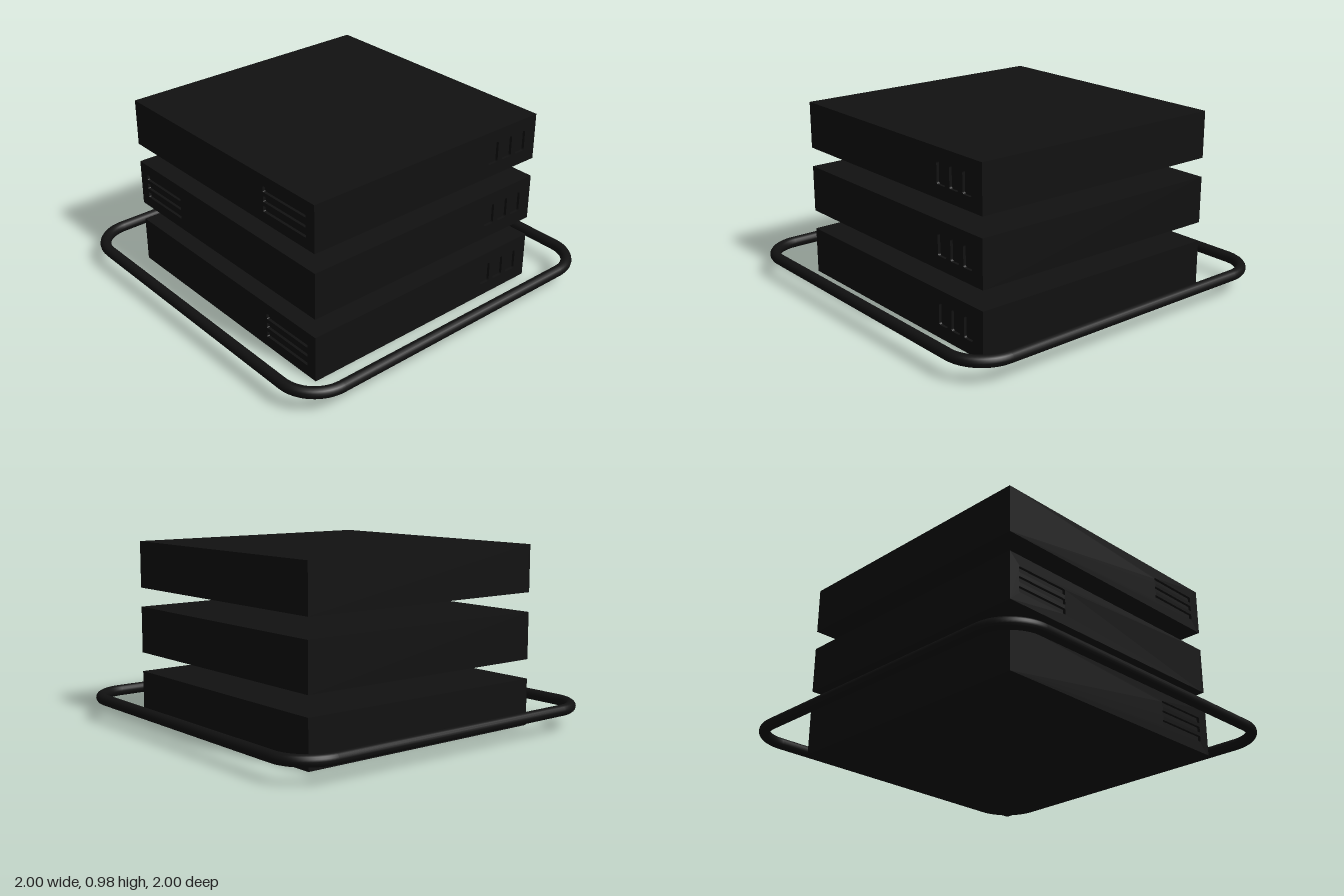
import * as THREE from 'three';

const SIZE = 1.494, HEIGHT = 0.256, PITCH = 0.362, INSET = 0.015;
const HALF = SIZE / 2;
const material = new THREE.MeshStandardMaterial({ color: 0x111111 });

function add(parent, name, geometry, x = 0, y = 0, z = 0) {
  const mesh = new THREE.Mesh(geometry, material);
  mesh.name = name;
  mesh.position.set(x, y, z);
  parent.add(mesh);
  return mesh;
}

// Rounded slot outline centred on (x, y)
function slot(x, y, w, h, r) {
  const p = new THREE.Path();
  const a = w / 2 - r, b = h / 2 - r;
  p.absarc(x + a, y + b, r, 0, Math.PI / 2);
  p.absarc(x - a, y + b, r, Math.PI / 2, Math.PI);
  p.absarc(x - a, y - b, r, Math.PI, Math.PI * 1.5);
  p.absarc(x + a, y - b, r, Math.PI * 1.5, Math.PI * 2);
  p.closePath();
  return p;
}

// Thin face plate pierced by slots
function plate(x0, x1, holes) {
  const s = new THREE.Shape();
  s.moveTo(x0, 0).lineTo(x1, 0).lineTo(x1, HEIGHT).lineTo(x0, HEIGHT).closePath();
  s.holes.push(...holes);
  return new THREE.ExtrudeGeometry(s, { depth: INSET, bevelEnabled: false, curveSegments: 4 });
}

// One unit: solid core, slatted front plate, ported side plate
function unit(index) {
  const g = new THREE.Group();
  g.name = 'unit' + (index + 1);
  const core = SIZE - INSET;
  add(g, 'core', new THREE.BoxGeometry(core, HEIGHT, core), -INSET / 2, HEIGHT / 2, -INSET / 2);

  const side = index === 1 ? -1 : 1;
  const vents = [-1, 0, 1].map(i => slot(side * 0.525, HEIGHT / 2 + i * 0.053, 0.32, 0.032, 0.006));
  add(g, 'frontVentPlate', plate(-HALF, HALF - INSET, vents), 0, 0, HALF - INSET);

  const ports = [0.435, 0.535, 0.635].map(x => slot(x, HEIGHT / 2, 0.068, 0.115, 0.012));
  add(g, 'sidePortPlate', plate(-HALF, HALF, ports), HALF - INSET, 0, 0).rotation.y = Math.PI / 2;

  g.position.y = index * PITCH;
  return g;
}

// Rounded square hoop made of straight tubes and quarter bends
function hoop() {
  const g = new THREE.Group();
  g.name = 'hoop';
  const tube = 0.03, bend = 0.2, reach = 1 - tube, straight = reach - bend;
  for (let i = 0; i < 4; i++) {
    const quarter = new THREE.Group();
    quarter.name = 'hoopQuarter';
    quarter.rotation.y = i * Math.PI / 2;
    const rail = new THREE.CylinderGeometry(tube, tube, straight * 2, 16, 1, true);
    add(quarter, 'rail', rail.rotateX(Math.PI / 2), reach);
    const corner = new THREE.TorusGeometry(bend, tube, 16, 16, Math.PI / 2);
    add(quarter, 'corner', corner.rotateX(Math.PI / 2), straight, 0, straight);
    g.add(quarter);
  }
  g.position.y = 0.116;
  return g;
}

export function createModel() {
  const model = new THREE.Group();
  model.name = 'stackedUnits';
  for (let i = 0; i < 3; i++) model.add(unit(i));
  model.add(hoop());
  return model;
}
